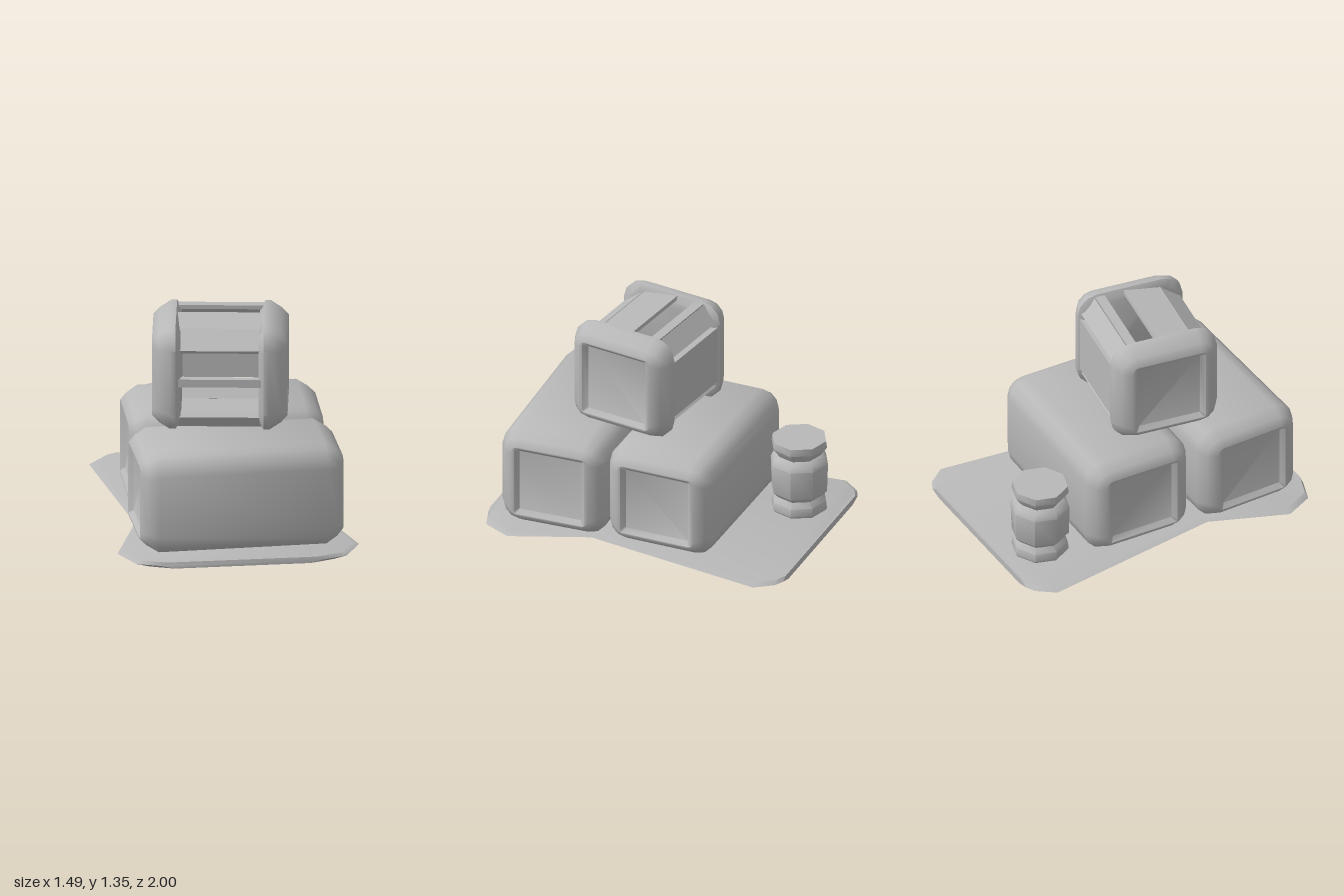
import * as THREE from 'three';
import { toCreasedNormals } from 'three/addons/utils/BufferGeometryUtils.js';

const grey = new THREE.MeshStandardMaterial({ color: 0xb8b8b8 });
grey.name = 'plain grey';

// Skin a row of equal-length loops and cap both ends.
function loft(loops) {
  const n = loops[0].length, pos = loops.flat(2), idx = [];
  for (let r = 0; r < loops.length - 1; r++) {
    for (let i = 0; i < n; i++) {
      const a = r * n + i, b = r * n + (i + 1) % n;
      idx.push(a, b, b + n, a, b + n, a + n);
    }
  }
  const last = (loops.length - 1) * n;
  for (let i = 1; i < n - 1; i++) idx.push(0, i + 1, i, last, last + i, last + i + 1);
  const g = new THREE.BufferGeometry();
  g.setAttribute('position', new THREE.Float32BufferAttribute(pos, 3));
  g.setIndex(idx);
  return toCreasedNormals(g, 0.8);
}

// Rounded rectangle across the x axis, given half sizes and corner radius.
function ring(x, hy, hz, r) {
  const pts = [];
  for (let c = 0; c < 4; c++) {
    const sy = c === 0 || c === 3 ? 1 : -1, sz = c < 2 ? 1 : -1;
    for (let k = 0; k <= 3; k++) {
      const a = (c + k / 3) * Math.PI / 2;
      pts.push([x, sy * (hy - r) + r * Math.cos(a), sz * (hz - r) + r * Math.sin(a)]);
    }
  }
  return pts;
}

// Recessed panel, rim and bevel of a crate's -x end.
const crateEnd = (w, hy, hz) => [
  ring(-w / 2 + 0.028, hy - 0.122, hz - 0.142, 0.005),
  ring(-w / 2, hy - 0.095, hz - 0.115, 0.01),
  ring(-w / 2, hy - 0.085, hz - 0.09, 0.05),
  ring(-w / 2 + 0.04, hy - 0.045, hz - 0.035, 0.1),
  ring(-w / 2 + 0.11, hy, hz, 0.13),
];
const flip = (loops) => loops.map((l) => l.map(([x, y, z]) => [-x, y, z])).reverse();

function add(parent, name, geometry) {
  const m = new THREE.Mesh(geometry, grey);
  m.name = name;
  parent.add(m);
  return m;
}

function closedCrate(parent, name, w, h, d, x, y, z, turn) {
  const end = crateEnd(w, h / 2, d / 2);
  const m = add(parent, name, loft([...end, ...flip(end)]));
  m.position.set(x, y, z);
  m.rotation.y = turn;
}

export function createModel() {
  const model = new THREE.Group();
  model.name = 'crateStack';

  // Thin waisted ground plate, arched underneath
  const rows = [[-1, 0.58], [-0.97, 0.64], [-0.86, 0.725], [0.28, 0.58], [0.77, 0.745], [0.95, 0.65], [1, 0.5]];
  add(model, 'groundPlate', loft(rows.map(([z, w]) => {
    const t = Math.abs(z - 0.28);
    const bottom = Math.max(0.002, 0.045 - t * (z > 0.28 ? 0.05 : 0.035));
    const top = 0.057 - t * 0.01, mid = (top + bottom) / 2;
    return [[w, mid, z], [w - 0.04, top, z], [-w + 0.04, top, z],
      [-w, mid, z], [-w + 0.08, bottom, z], [w - 0.08, bottom, z]];
  })));

  // Two closed crates side by side
  closedCrate(model, 'frontCrate', 1.26, 0.65, 0.69, 0.01, 0.375, 0.56, 0.035);
  closedCrate(model, 'rearCrate', 1.2, 0.65, 0.7, 0.01, 0.375, -0.165, -0.012);

  // Open slatted crate on top
  const open = new THREE.Group();
  open.name = 'openCrate';
  open.position.set(-0.036, 1.018, 0.157);
  open.rotation.y = -0.14;
  model.add(open);
  const W = 0.83, H = 0.675, D = 0.69;
  const end = [...crateEnd(W, H / 2, D / 2),
    ring(-0.27, H / 2, D / 2, 0.13), ring(-0.24, H / 2 - 0.05, D / 2 - 0.03, 0.1)];
  add(open, 'rightEnd', loft(end));
  add(open, 'leftEnd', loft(flip(end)));

  // Boards between the ends: name, height, depth, y, z, tilt
  const boards = [
    ['backWall', 0.38, 0.04, 0, -0.315, 0],
    ['backTopBoard', 0.13, 0.03, 0.262, -0.27, 0.75],
    ['backBottomBoard', 0.13, 0.03, -0.262, -0.27, -0.75],
    ['topRearSlat', 0.025, 0.06, 0.312, -0.2, 0],
    ['topFrontSlat', 0.025, 0.23, 0.3, 0.07, 0.12],
    ['topFrontLip', 0.025, 0.165, 0.242, 0.245, 0.65],
    ['floorBoard', 0.03, 0.44, -0.315, 0, 0],
    ['frontMiddleBar', 0.05, 0.05, -0.005, 0.305, 0],
    ['frontBottomBar', 0.1, 0.04, -0.26, 0.265, 0.65],
  ];
  for (const [name, h, d, y, z, tilt] of boards) {
    const m = add(open, name, new THREE.BoxGeometry(0.56, h, d));
    m.position.set(0, y, z);
    m.rotation.x = tilt;
  }

  // Eight-sided jar with a pinched neck and foot
  const profile = [[0, 0.035], [0.16, 0.035], [0.178, 0.06], [0.172, 0.11], [0.145, 0.145], [0.178, 0.18],
    [0.184, 0.37], [0.165, 0.41], [0.135, 0.425], [0.178, 0.485], [0.172, 0.53], [0, 0.53]];
  const jar = add(model, 'jar', toCreasedNormals(
    new THREE.LatheGeometry(profile.map(([x, y]) => new THREE.Vector2(x, y)), 8), 0.85));
  jar.position.set(-0.29, 0, -0.735);
  jar.rotation.y = 0.1;

  return model;
}
